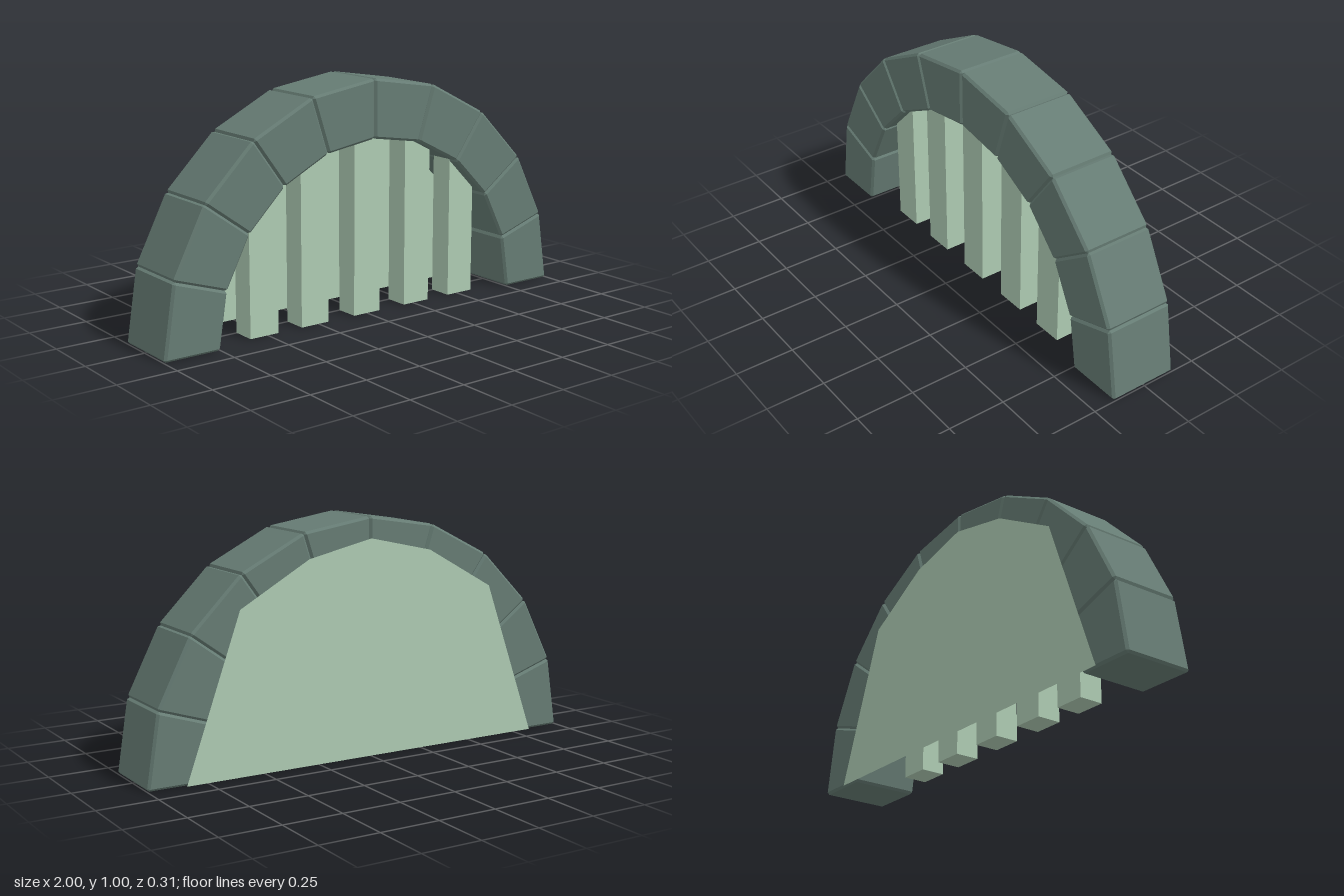
import * as THREE from 'three';
import { ConvexGeometry } from 'three/addons/geometries/ConvexGeometry.js';

const STONES = 10, OUTER = 1, INNER = 0.752, CHAMFER = 0.01;
const FRONT = 0.156, BACK = -0.148;

const polar = (r, angle, z) => new THREE.Vector3(r * Math.cos(angle), r * Math.sin(angle), z);

// One straight-sided wedge with every edge chamfered
function wedgeGeometry(a0, a1) {
  const points = [];
  for (const [r, otherR] of [[INNER, OUTER], [OUTER, INNER]])
    for (const [a, otherA] of [[a0, a1], [a1, a0]])
      for (const [z, otherZ] of [[FRONT, BACK], [BACK, FRONT]]) {
        const corner = polar(r, a, z);
        const inward = [polar(otherR, a, z), polar(r, otherA, z), polar(r, a, otherZ)]
          .map((p) => p.sub(corner).setLength(CHAMFER));
        for (let skip = 0; skip < 3; skip++) {
          const p = corner.clone();
          inward.forEach((d, i) => { if (i !== skip) p.add(d); });
          points.push(p);
        }
      }
  return new ConvexGeometry(points);
}

export function createModel() {
  const model = new THREE.Group();
  model.name = 'barredArch';
  const stoneMaterial = new THREE.MeshStandardMaterial({ color: 0x667c74, flatShading: true });
  const grateMaterial = new THREE.MeshStandardMaterial({ color: 0xaecbb3, flatShading: true });
  const plateMaterial = new THREE.MeshStandardMaterial({ color: 0xaecbb3, side: THREE.DoubleSide });

  // Ring of arch stones
  const arch = new THREE.Group();
  arch.name = 'arch';
  const step = Math.PI / STONES;
  for (let i = 0; i < STONES; i++) {
    const stone = new THREE.Mesh(wedgeGeometry(i * step, (i + 1) * step), stoneMaterial);
    stone.name = `archStone${i + 1}`;
    arch.add(stone);
  }
  model.add(arch);

  // Upright bars, tops buried in the stones
  const bars = new THREE.Group();
  bars.name = 'bars';
  [[-0.515, 0.67], [-0.267, 0.79], [0, 0.83], [0.267, 0.79], [0.515, 0.67]].forEach(([x, height], i) => {
    const bar = new THREE.Mesh(new THREE.BoxGeometry(0.134, height, 0.105), grateMaterial);
    bar.name = `bar${i + 1}`;
    bar.position.set(x, height / 2, 0.05);
    bars.add(bar);
  });
  model.add(bars);

  // Thin plate closing the back
  const half = [[0.84, 0], [0.6, 0.67], [0.29, 0.845]];
  const outline = [...half, [0, 0.91], ...half.map(([x, y]) => [-x, y]).reverse()];
  const plate = new THREE.Mesh(
    new THREE.ShapeGeometry(new THREE.Shape(outline.map(([x, y]) => new THREE.Vector2(x, y)))),
    plateMaterial
  );
  plate.name = 'backPlate';
  plate.rotation.y = Math.PI;
  plate.position.z = -0.156;
  model.add(plate);

  return model;
}
